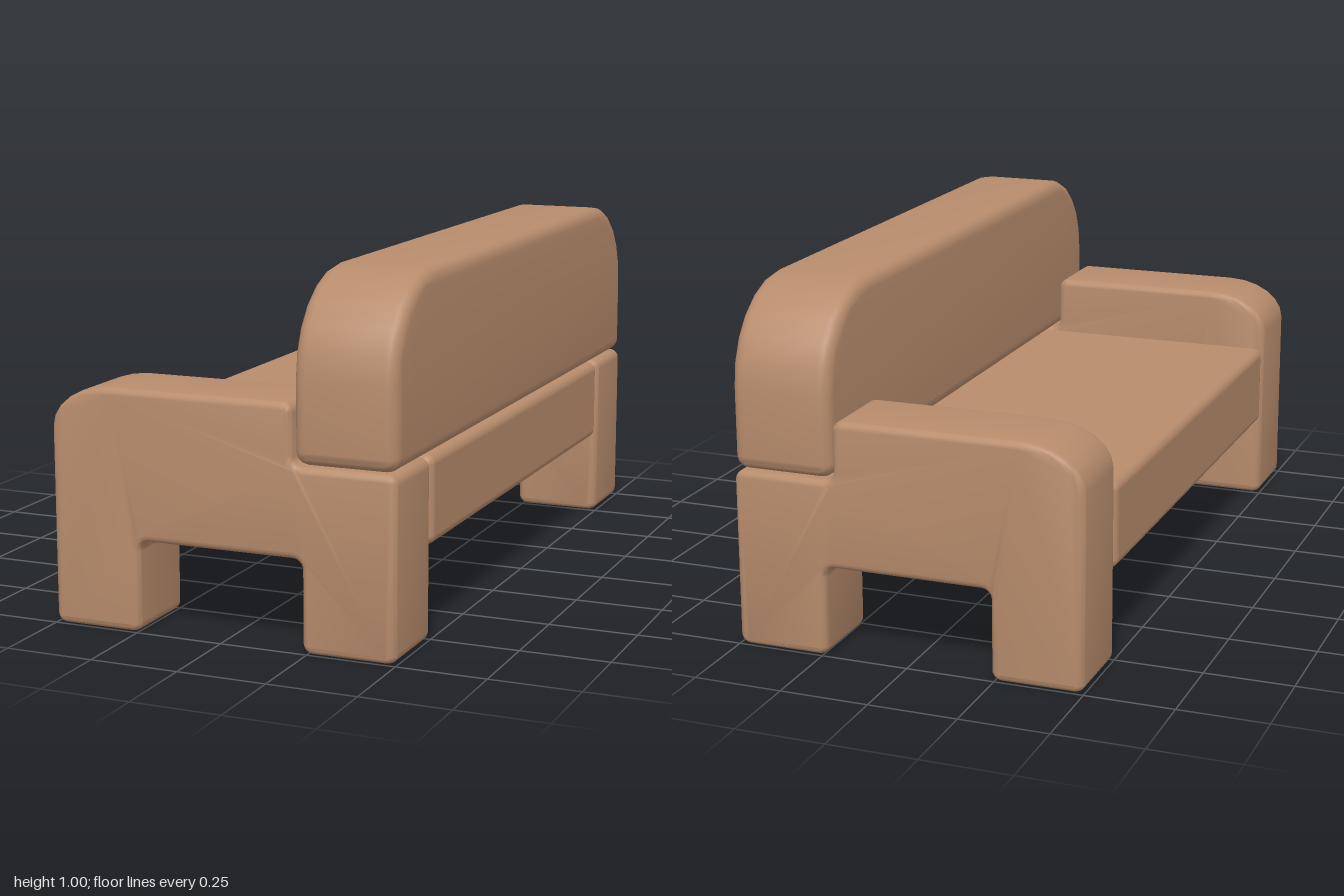
import * as THREE from 'three';
import { toCreasedNormals } from 'three/addons/utils/BufferGeometryUtils.js';
import { RoundedBoxGeometry } from 'three/addons/geometries/RoundedBoxGeometry.js';

// Closed outline with rounded corners: each point is [x, y, radius before, radius after]
function roundedOutline(points, radius) {
  const shape = new THREE.Shape();
  const k = 0.55;
  points.forEach(([x, y, before = radius, after = before], i) => {
    const corner = new THREE.Vector2(x, y);
    const prev = new THREE.Vector2(...points.at(i - 1).slice(0, 2));
    const next = new THREE.Vector2(...points[(i + 1) % points.length].slice(0, 2));
    const toPrev = prev.sub(corner).normalize();
    const toNext = next.sub(corner).normalize();
    const at = (dir, d) => corner.clone().addScaledVector(dir, d);
    const a = at(toPrev, before), b = at(toNext, after);
    const ca = at(toPrev, before * (1 - k)), cb = at(toNext, after * (1 - k));
    if (i === 0) shape.moveTo(a.x, a.y);
    else shape.lineTo(a.x, a.y);
    shape.bezierCurveTo(ca.x, ca.y, cb.x, cb.y, b.x, b.y);
  });
  shape.closePath();
  return shape;
}

// Padded slab, centred on its thickness, with soft edges
function paddedSlab(shape, thickness, bevel) {
  const geometry = new THREE.ExtrudeGeometry(shape, {
    depth: thickness - 2 * bevel,
    bevelThickness: bevel,
    bevelSize: bevel,
    bevelOffset: -bevel,
    bevelSegments: 4,
    curveSegments: 6,
  });
  geometry.translate(0, 0, bevel - thickness / 2);
  return toCreasedNormals(geometry, 0.7);
}

export function createModel() {
  const group = new THREE.Group();
  group.name = 'sofa';
  const upholstery = new THREE.MeshStandardMaterial({ color: 0xb88c6c });
  upholstery.name = 'tan upholstery';

  const add = (name, geometry, x, y, z) => {
    const mesh = new THREE.Mesh(geometry, upholstery);
    mesh.name = name;
    mesh.position.set(x, y, z);
    group.add(mesh);
  };

  // Armrests, each in one piece with its two legs and a ledge for the backrest
  const armOutline = roundedOutline([
    [-0.5, 0], [-0.24, 0], [-0.24, 0.253], [0.235, 0.253], [0.235, 0],
    [0.5, 0], [0.5, 0.5], [0.207, 0.5], [0.207, 0.667], [-0.5, 0.667, 0.18, 0.12],
  ], 0.028);
  const arm = paddedSlab(armOutline, 0.248, 0.02);
  add('leftSideArm', arm, 0, 0, 0.876);
  add('rightSideArm', arm, 0, 0, -0.876);

  // Seat cushion between the arms
  add('seat', new RoundedBoxGeometry(1, 0.248, 1.49, 4, 0.028), 0, 0.376, 0);

  // Backrest with large rounded upper corners, resting on the arms
  const backOutline = roundedOutline([
    [-1, 0.502], [1, 0.502], [1, 1, 0.27], [-1, 1, 0.27],
  ], 0.038);
  const back = paddedSlab(backOutline, 0.288, 0.036);
  back.rotateY(Math.PI / 2);
  add('backrest', back, 0.356, 0, 0);

  return group;
}
